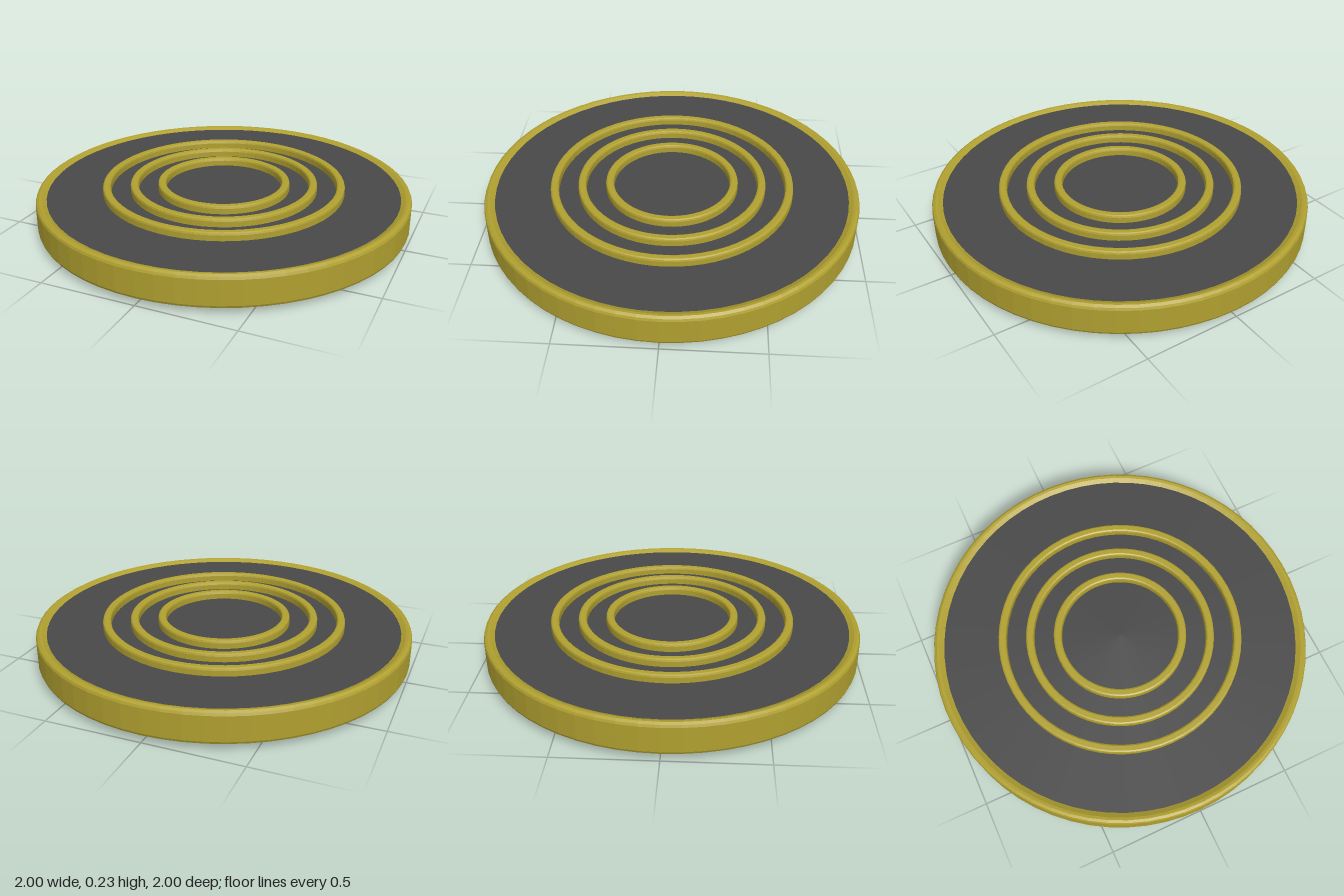
import * as THREE from 'three';

const SEGMENTS = 64;
const MID = 0.113; // height of the mid plane

// Closed, faceted ring turned from half a profile (radius, height above mid plane),
// listed from the outer side to the inner side and mirrored below.
function ring(name, half, material) {
  const upper = half.map(([r, y]) => new THREE.Vector2(r, y));
  const lower = half.map(([r, y]) => new THREE.Vector2(r, -y)).reverse();
  const profile = [...lower, ...upper];
  // begin and end on the inner wall so the loop closes
  profile.push(profile[0].clone());
  const geometry = new THREE.LatheGeometry(profile, SEGMENTS).toNonIndexed();
  geometry.computeVertexNormals();
  const mesh = new THREE.Mesh(geometry, material);
  mesh.name = name;
  mesh.position.y = MID;
  return mesh;
}

export function createModel() {
  const gold = new THREE.MeshStandardMaterial({ color: 0xb0a030 });
  gold.name = 'gold';
  const dark = new THREE.MeshStandardMaterial({ color: 0x484848 });
  dark.name = 'dark grey';

  const model = new THREE.Group();
  model.name = 'ringedDisc';

  // Outer rim: rounded outside, sloping inwards to the plate
  model.add(ring('rim', [
    [1, 0.065], [0.995, 0.077], [0.982, 0.085], [0.968, 0.083], [0.938, 0.068],
  ], gold));

  // Dark plate filling the rim
  const plate = new THREE.Mesh(new THREE.CylinderGeometry(0.95, 0.95, 0.142, SEGMENTS), dark);
  plate.name = 'plate';
  plate.position.y = MID;
  model.add(plate);

  // Three raised rings passing through the plate, proud on both faces
  [['outerRing', 0.65], ['middleRing', 0.503], ['innerRing', 0.355]].forEach(([name, r]) => {
    const inner = r - 0.044;
    model.add(ring(name, [
      [r, 0.1], [r - 0.003, 0.109], [r - 0.01, 0.113],
      [inner + 0.01, 0.113], [inner + 0.003, 0.109], [inner, 0.1],
    ], gold));
  });

  return model;
}
